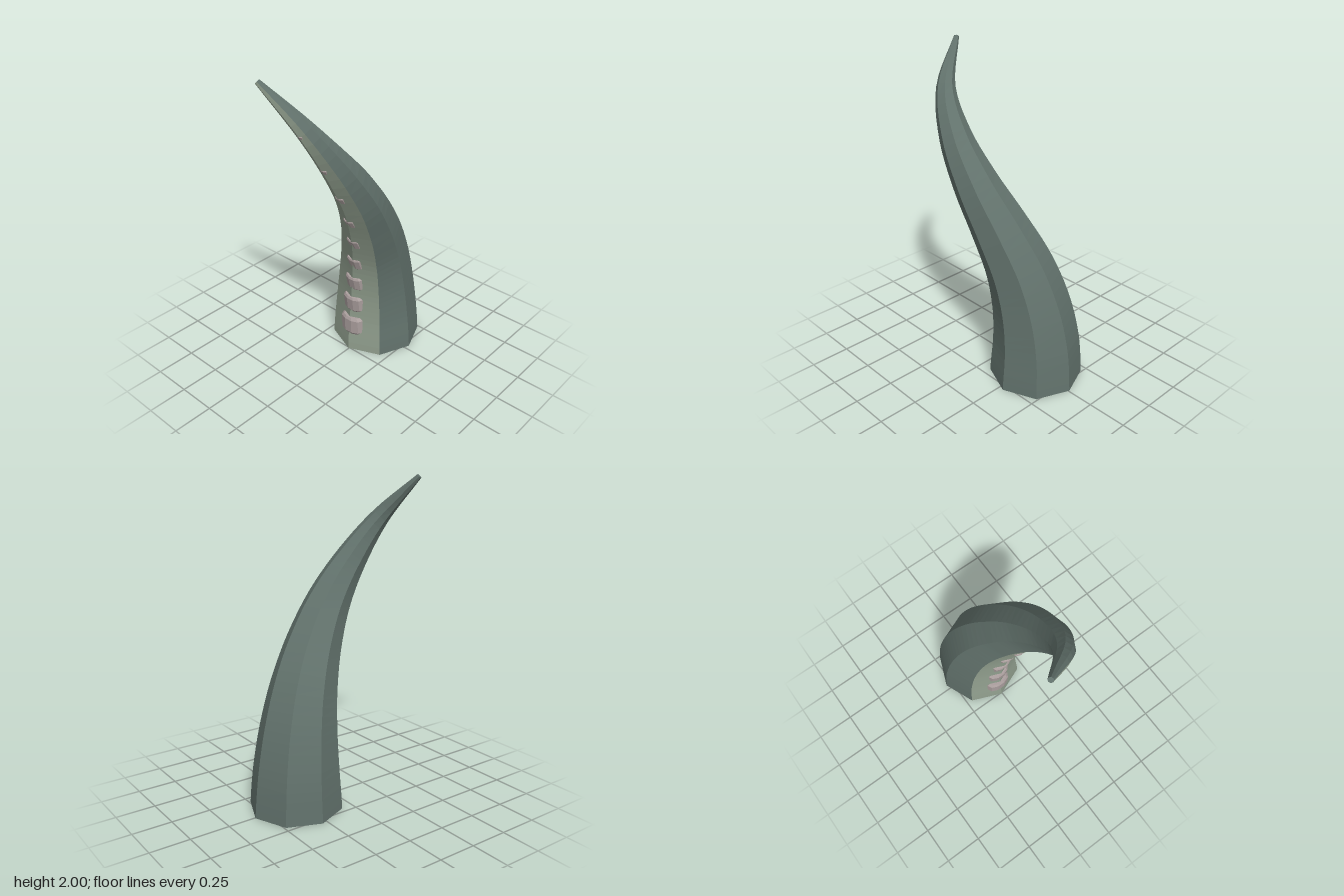
import * as THREE from 'three';

const SIDES = 8, RINGS = 40;

// Centre line of the tentacle, evenly spaced in height from the base to the tip
const spine = new THREE.CatmullRomCurve3([
  [-0.006, -0.284], [-0.007, -0.279], [0.01, -0.248], [0.048, -0.18], [0.105, -0.063],
  [0.151, 0.09], [0.149, 0.265], [0.073, 0.43], [-0.13, 0.56],
].map(([x, z], i) => new THREE.Vector3(x, 1.988 * i / 8, z)), false, 'catmullrom', 0.5);

const radiusAt = t => 0.016 + 0.275 * (1 - Math.pow(t, 1.25));

const UP = new THREE.Vector3(0, 1, 0);
const tangentAt = t => (t === 0 ? UP.clone() : spine.getTangent(t));

// Position and rotation of a cross-section; local y runs along the spine, local +z is the belly
function frameAt(t) {
  return { centre: spine.getPoint(t), turn: new THREE.Quaternion().setFromUnitVectors(UP, tangentAt(t)) };
}

function ringPoint(t, k) {
  const { centre, turn } = frameAt(t);
  const a = k * 2 * Math.PI / SIDES, r = radiusAt(t);
  return new THREE.Vector3(Math.sin(a) * r, 0, Math.cos(a) * r).applyQuaternion(turn).add(centre);
}

// Lengthwise strips from side number first to last, optionally closed at the tip
function strips(first, last, capped) {
  const pos = [];
  const tri = (...pts) => pts.forEach(p => pos.push(p.x, p.y, p.z));
  for (let k = first; k <= last; k++) {
    for (let i = 0; i < RINGS; i++) {
      const t0 = i / RINGS, t1 = (i + 1) / RINGS;
      const a = ringPoint(t0, k), b = ringPoint(t0, k + 1);
      const c = ringPoint(t1, k + 1), d = ringPoint(t1, k);
      tri(a, b, c);
      tri(a, c, d);
    }
  }
  if (capped) {
    const tip = spine.getPoint(1);
    for (let k = 0; k < SIDES; k++) tri(ringPoint(1, k), ringPoint(1, k + 1), tip);
  }
  const geo = new THREE.BufferGeometry();
  geo.setAttribute('position', new THREE.Float32BufferAttribute(pos, 3));
  geo.computeVertexNormals();
  return geo;
}

function material(name, color) {
  const m = new THREE.MeshStandardMaterial({ color, flatShading: true, side: THREE.DoubleSide });
  m.name = name;
  return m;
}

export function createModel() {
  const group = new THREE.Group();
  group.name = 'tentacle';
  const skin = material('dark green skin', 0x62726c);
  const bellySkin = material('pale green belly', 0x919f8e);
  const suckerSkin = material('pinkish grey suckers', 0xab9f9e);

  const add = (name, geo, mat) => {
    const mesh = new THREE.Mesh(geo, mat);
    mesh.name = name;
    group.add(mesh);
    return mesh;
  };

  // Hollow body with an open base, and the two pale belly strips
  add('body', strips(1, SIDES - 2, true), skin);
  add('belly', strips(-1, 0, false), bellySkin);

  // Row of flattened, chamfered suckers, shrinking and sinking into the belly ridge upward
  const profile = [[0, -0.76], [0.8, -0.76], [1, -0.56], [1, 0.56], [0.8, 0.76], [0, 0.76]]
    .map(p => new THREE.Vector2(...p));
  const suckerGeo = new THREE.LatheGeometry(profile, 10, Math.PI / 10);
  suckerGeo.scale(1, 1, 0.57);
  for (let i = 0; i < 9; i++) {
    const t = 0.1 + 0.0965 * i;
    const size = 0.095 * (1 - 0.95 * t);
    const { centre, turn } = frameAt(t);
    const sucker = add('sucker' + (i + 1), suckerGeo, suckerSkin);
    const depth = radiusAt(t) - size * Math.min(0.58, 0.35 + 0.5 * t);
    sucker.position.set(0, 0, depth).applyQuaternion(turn).add(centre);
    // Suckers lean forward with the spine but stay level from side to side
    const tangent = tangentAt(t);
    sucker.rotation.x = Math.atan2(tangent.z, tangent.y);
    sucker.scale.setScalar(size);
  }
  return group;
}
